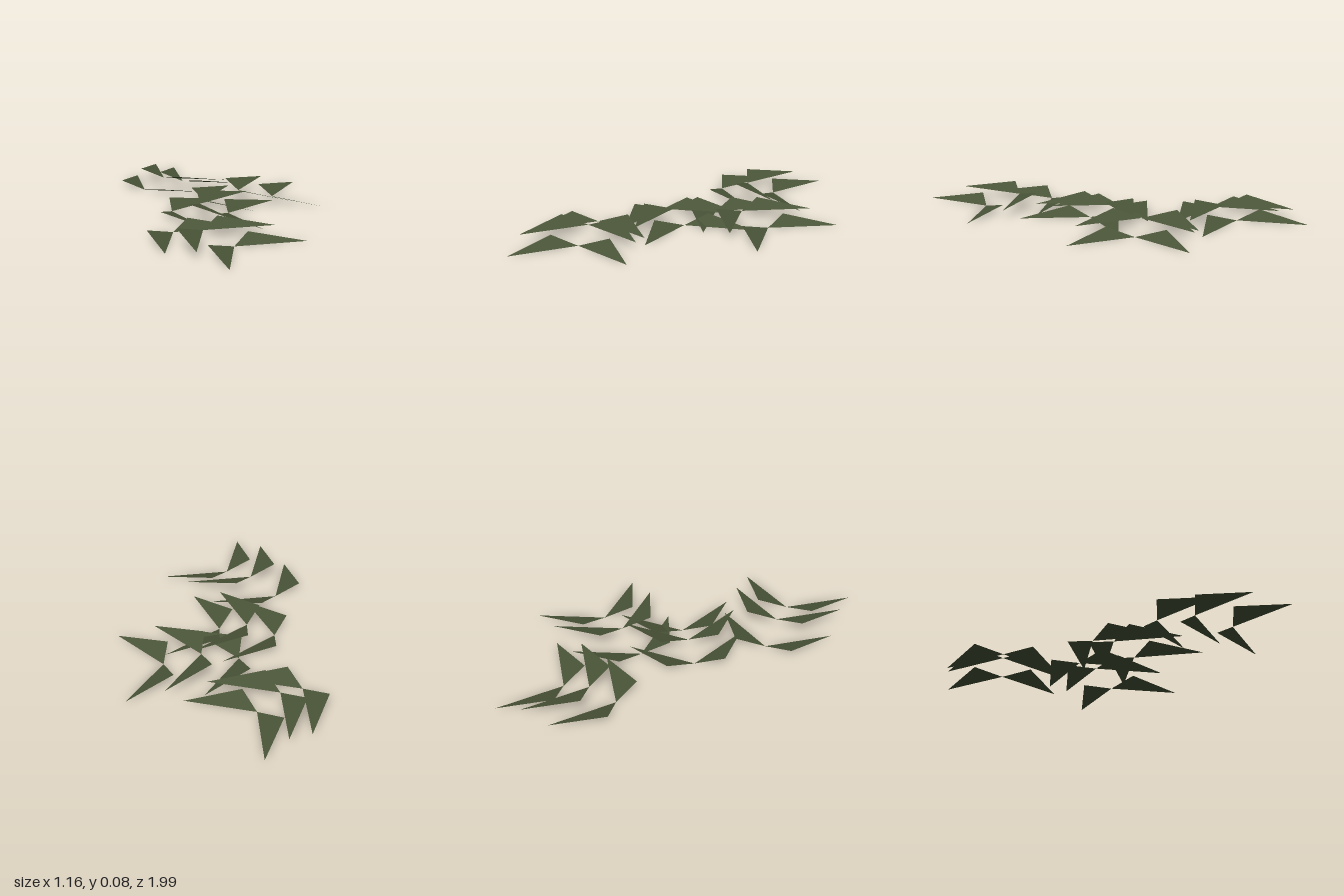
import * as THREE from 'three';

const olive = new THREE.MeshStandardMaterial({ color: 0x4a5538, side: THREE.DoubleSide });
olive.name = 'olive green';

// One swept triangular wing: root, raised front corner, trailing tip (side = 1 or -1)
function wingGeometry(side) {
  const root = [0, 0, 0];
  const shoulder = [-0.037, 0.035, 0.151 * side];
  const tip = [0.212, 0, 0.296 * side];
  const corners = side > 0 ? [root, shoulder, tip] : [root, tip, shoulder]; // both face up
  const geometry = new THREE.BufferGeometry();
  geometry.setAttribute('position', new THREE.Float32BufferAttribute(corners.flat(), 3));
  geometry.computeVertexNormals();
  return geometry;
}

// Rows of three birds: middle position, heading angle in degrees, spacing along the heading
const ROWS = [
  { name: 'backLeftRow', x: -0.357, z: -0.532, angle: 52.3, spacing: 0.148 },
  { name: 'backRightRow', x: 0.093, z: -0.288, angle: 20.2, spacing: 0.192 },
  { name: 'middleRow', x: -0.077, z: 0.029, angle: 0, spacing: 0.148 },
  { name: 'frontRow', x: 0.003, z: 0.526, angle: -33, spacing: 0.192 },
];

export function createModel() {
  const model = new THREE.Group();
  model.name = 'flock';
  const wings = { leftWing: wingGeometry(1), rightWing: wingGeometry(-1) };

  for (const { name, x, z, angle, spacing } of ROWS) {
    const row = new THREE.Group();
    row.name = name;
    row.position.set(x, 0, z);
    row.rotation.y = THREE.MathUtils.degToRad(angle);

    for (let k = -1; k <= 1; k++) {
      const bird = new THREE.Group();
      bird.name = 'bird';
      bird.position.set(k * spacing, k === 0 ? 0.045 : 0, 0); // the middle bird flies higher
      for (const [wingName, geometry] of Object.entries(wings)) {
        const wing = new THREE.Mesh(geometry, olive);
        wing.name = wingName;
        bird.add(wing);
      }
      row.add(bird);
    }
    model.add(row);
  }
  return model;
}
